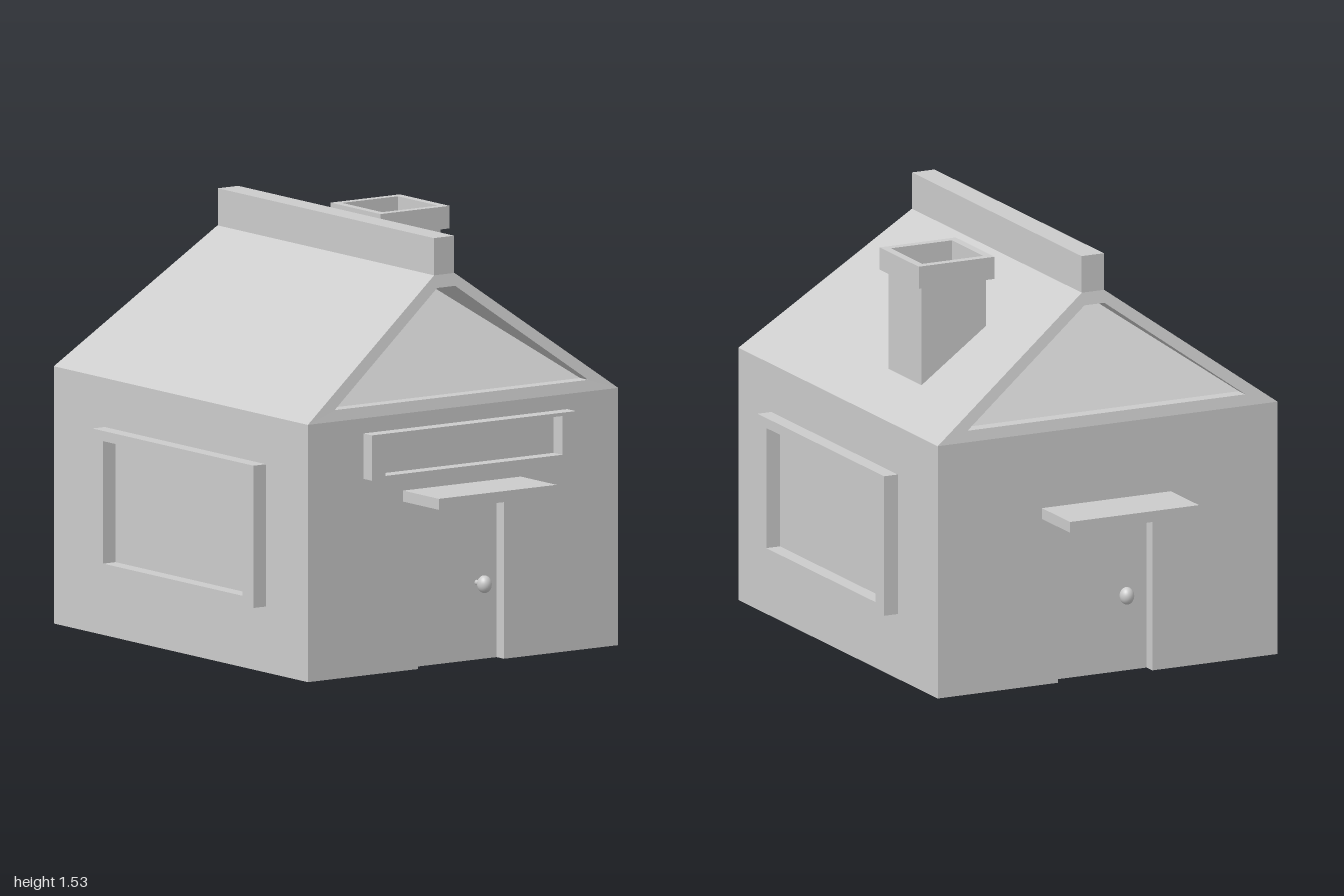
import * as THREE from 'three';

const W = 0.685, D = 0.78, EAVE = 0.935;           // half width, half depth, wall height
const DOOR = { x0: -0.2, x1: 0.18, h: 0.615, z: 0.735 };
const mat = new THREE.MeshStandardMaterial({ color: 0xcccccc });
const thin = new THREE.MeshStandardMaterial({ color: 0xcccccc, side: THREE.DoubleSide });

function add(parent, name, geometry, material = mat) {
  const mesh = new THREE.Mesh(geometry, material);
  mesh.name = name;
  parent.add(mesh);
  return mesh;
}

// Box given by its limits on each axis
function box(parent, name, [x0, x1], [y0, y1], [z0, z1]) {
  const g = new THREE.BoxGeometry(x1 - x0, y1 - y0, z1 - z0);
  g.translate((x0 + x1) / 2, (y0 + y1) / 2, (z0 + z1) / 2);
  return add(parent, name, g);
}

// Flat-shaded surface made of four-cornered faces
function quads(parent, name, list) {
  const pos = list.flatMap(([a, b, c, d]) => [a, b, c, a, c, d].flat());
  const g = new THREE.BufferGeometry();
  g.setAttribute('position', new THREE.Float32BufferAttribute(pos, 3));
  g.computeVertexNormals();
  return add(parent, name, g, thin);
}

const shapeOf = pts => new THREE.Shape(pts.map(p => new THREE.Vector2(...p)));

// Rectangular frame with an opening, extruded along +z
function frame(parent, name, [x0, x1, y0, y1], [a0, a1, b0, b1], depth) {
  const s = shapeOf([[x0, y0], [x1, y0], [x1, y1], [x0, y1]]);
  s.holes.push(new THREE.Path([[a0, b0], [a0, b1], [a1, b1], [a1, b0]].map(p => new THREE.Vector2(...p))));
  return add(parent, name, new THREE.ExtrudeGeometry(s, { depth, bevelEnabled: false }));
}

// One end of the house: wall, recessed door, canopy, knob and sunken gable
function houseEnd(name, knobZ) {
  const end = new THREE.Group();
  end.name = name;
  const { x0, x1, h, z } = DOOR;
  const wall = new THREE.ShapeGeometry(shapeOf([[-W, 0], [x0, 0], [x0, h], [x1, h], [x1, 0], [W, 0], [W, EAVE], [-W, EAVE]]));
  add(end, 'endWall', wall.translate(0, 0, D), thin);

  const path = [[x0, 0], [x0, h], [x1, h], [x1, 0]];
  quads(end, 'doorJamb', [0, 1, 2].map(i => {
    const a = path[i], b = path[i + 1];
    return [[...a, D], [...a, z], [...b, z], [...b, D]];
  }));
  quads(end, 'door', [[[x0, 0, z], [x1, 0, z], [x1, h, z], [x0, h, z]]]);
  box(end, 'canopy', [-0.265, 0.255], [0.615, 0.655], [D, 1]);

  const knob = add(end, 'doorKnob', new THREE.SphereGeometry(1, 24, 16));
  knob.scale.set(0.026, 0.032, 0.028);
  knob.position.set(0.093, 0.28, knobZ);
  const stem = new THREE.CylinderGeometry(0.01, 0.01, knobZ - z, 12).rotateX(Math.PI / 2);
  add(end, 'knobStem', stem.translate(0.093, 0.28, (knobZ + z) / 2));

  // Gable: leaning border, recess walls, then a panel leaning further back
  const ring = (xb, yb, zb, xt, yt, zt) => [[-xb, yb, zb], [xb, yb, zb], [xt, yt, zt], [-xt, yt, zt]];
  const outer = ring(W, EAVE, D, 0.045, 1.4, 0.665);
  const inner = ring(0.56, 0.975, 0.77, 0.04, 1.355, 0.676);
  const panel = ring(0.56, 0.975, 0.72, 0.04, 1.355, 0.44);
  const band = (p, q) => p.map((_, i) => [p[i], p[(i + 1) % 4], q[(i + 1) % 4], q[i]]);
  quads(end, 'gableBorder', band(outer, inner));
  quads(end, 'gableRecess', band(inner, panel));
  quads(end, 'gablePanel', [panel]);
  return end;
}

export function createModel() {
  const house = new THREE.Group();
  house.name = 'house';

  const front = houseEnd('frontEnd', 0.782);
  const back = houseEnd('backEnd', 0.75);
  back.rotation.y = Math.PI;
  house.add(front, back);

  // Side walls and roof slopes
  for (const [side, s] of [['left', 1], ['right', -1]]) {
    quads(house, side + 'Wall', [[[s * W, 0, s * D], [s * W, 0, -s * D], [s * W, EAVE, -s * D], [s * W, EAVE, s * D]]]);
    quads(house, side + 'RoofSlope', [[[s * W, EAVE, s * D], [s * W, EAVE, -s * D], [s * 0.045, 1.4, -s * 0.665], [s * 0.045, 1.4, s * 0.665]]]);
  }

  // Underside, notched at both doors
  const { x0, x1, z } = DOOR;
  const half = [[-W, D], [x0, D], [x0, z], [x1, z], [x1, D], [W, D]];
  const floor = new THREE.ShapeGeometry(shapeOf([...half, ...half.map(([x, y]) => [-x, -y])]));
  add(house, 'floor', floor.rotateX(Math.PI / 2), thin);

  box(house, 'roofRidge', [-0.045, 0.045], [1.395, 1.535], [-0.663, 0.663]);

  // Window frames; the wall behind serves as the pane
  frame(house, 'frontWindowFrame', [-0.44, 0.46, 0.715, 0.88], [-0.38, 0.4, 0.727, 0.868], 0.053).position.z = D;
  for (const [side, s] of [['left', 1], ['right', -1]]) {
    const flip = ([a, b, c, d]) => (s > 0 ? [-b, -a, c, d] : [a, b, c, d]);
    const w = frame(house, side + 'WindowFrame', flip([-0.467, 0.523, 0.24, 0.757]), flip([-0.4, 0.455, 0.275, 0.72]), 0.055);
    w.rotation.y = s * Math.PI / 2;
    w.position.x = s * W;
  }

  // Hollow chimney with a wider cap
  const chimney = new THREE.Group();
  chimney.name = 'chimney';
  chimney.position.set(0.404, 0, -0.23);
  const square = (r) => [-r, r, -r, r];
  for (const [name, r, y0, y1] of [['chimneyShaft', 0.13, 1.0, 1.41], ['chimneyCap', 0.153, 1.41, 1.492]]) {
    const f = frame(chimney, name, square(r), square(0.123), y1 - y0);
    f.rotation.x = -Math.PI / 2;
    f.position.y = y0;
  }
  box(chimney, 'chimneyFloor', [-0.124, 0.124], [1.0, 1.24], [-0.124, 0.124]);
  house.add(chimney);

  return house;
}
